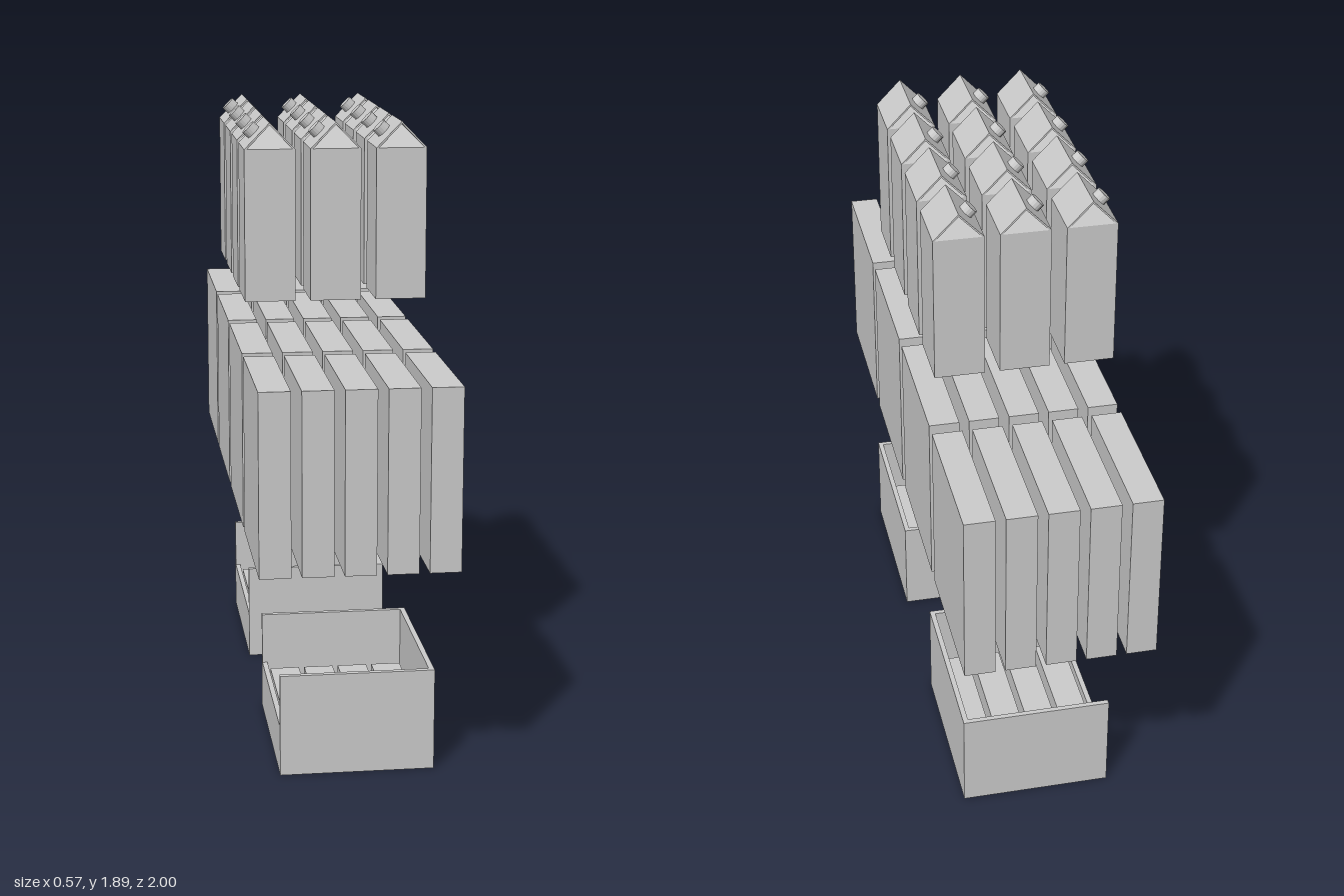
import * as THREE from 'three';

const material = new THREE.MeshStandardMaterial({ color: 0xcccccc, flatShading: true });
const thin = new THREE.MeshStandardMaterial({ color: 0xcccccc, flatShading: true, side: THREE.DoubleSide });

function add(parent, name, geometry, x = 0, y = 0, z = 0, mat = material) {
  const mesh = new THREE.Mesh(geometry, mat);
  mesh.name = name;
  mesh.position.set(x, y, z);
  parent.add(mesh);
  return mesh;
}

function box(parent, name, w, h, d, x, y, z) {
  return add(parent, name, new THREE.BoxGeometry(w, h, d), x, y, z);
}

// Gable-top carton with folded-in ends and a screw cap; origin at its base centre
function createCarton() {
  const carton = new THREE.Group();
  carton.name = 'carton';
  const w = 0.15, h = 0.45, d = 0.193, rise = 0.077, t = 0.007, fold = 0.045;
  box(carton, 'cartonBody', w, h, d, 0, h / 2, 0);

  // Two sloping roof panels as one thin chevron
  const chevron = new THREE.Shape();
  chevron.moveTo(-w / 2, h);
  chevron.lineTo(0, h + rise);
  chevron.lineTo(w / 2, h);
  chevron.lineTo(w / 2 - t, h);
  chevron.lineTo(0, h + rise - t);
  chevron.lineTo(-w / 2 + t, h);
  chevron.closePath();
  add(carton, 'cartonRoof', new THREE.ExtrudeGeometry(chevron, { depth: d, bevelEnabled: false }), 0, 0, -d / 2);

  // Gable ends leaning inward
  for (const s of [-1, 1]) {
    const gable = new THREE.BufferGeometry();
    gable.setAttribute('position', new THREE.Float32BufferAttribute([
      -s * w / 2, h, s * d / 2, s * w / 2, h, s * d / 2, 0, h + rise - t / 2, s * (d / 2 - fold),
    ], 3));
    gable.computeVertexNormals();
    add(carton, 'foldedGable', gable, 0, 0, 0, thin);
  }

  // Cap standing square to the slope on the model's right
  const slope = Math.atan2(rise, w / 2);
  const cap = add(carton, 'cap', new THREE.CylinderGeometry(0.023, 0.023, 0.03, 16),
    -w / 4 - 0.006, h + rise / 2 + 0.006, -0.01);
  cap.rotation.z = slope;
  return carton;
}

// Open crate with a low wall on the model's right, holding a layer of flat packs
function createCrate() {
  const crate = new THREE.Group();
  crate.name = 'crate';
  const w = 0.46, h = 0.31, d = 0.567, t = 0.016, low = 0.15;
  box(crate, 'crateFloor', w, t, d, 0, t / 2, 0);
  box(crate, 'crateTallWall', t, h, d, w / 2 - t / 2, h / 2, 0);
  box(crate, 'crateLowWall', t, low, d, -w / 2 + t / 2, low / 2, 0);
  for (const s of [-1, 1]) box(crate, 'crateEndWall', w, h, t, 0, h / 2, s * (d - t) / 2);
  for (let i = 0; i < 4; i++) {
    box(crate, 'cratePack', 0.091, 0.125, 0.47, (i - 1.5) * 0.108, t + 0.0625, 0);
  }
  return crate;
}

export function createModel() {
  const model = new THREE.Group();
  model.name = 'packagedGoods';

  // Top tier: three by four cartons
  for (const x of [-0.2, -0.005, 0.19]) {
    for (const z of [0.38, 0.128, -0.123, -0.375]) {
      const carton = createCarton();
      carton.position.set(x, 1.365, z);
      model.add(carton);
    }
  }

  // Middle tier: five by four slim boxes
  for (let i = -2; i <= 2; i++) {
    for (const z of [0.767, 0.256, -0.256, -0.767]) {
      box(model, 'slimBox', 0.091, 0.537, 0.466, i * 0.121, 0.9435, z);
    }
  }

  // Bottom tier: two crates
  for (const z of [0.519, -0.508]) {
    const crate = createCrate();
    crate.position.set(0.02, 0, z);
    model.add(crate);
  }
  return model;
}
